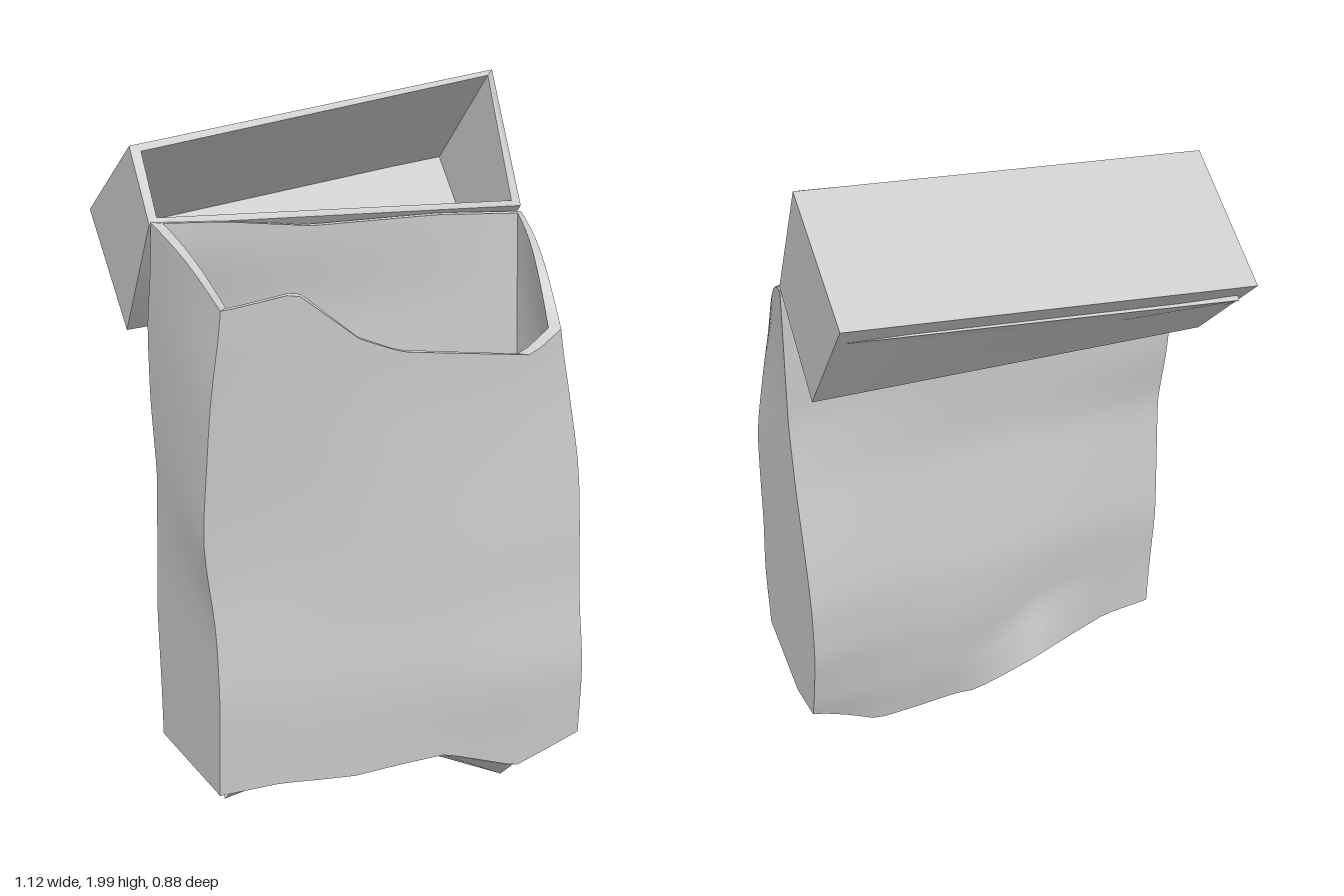
import * as THREE from 'three';
import { toCreasedNormals } from 'three/addons/utils/BufferGeometryUtils.js';

const lerp = THREE.MathUtils.lerp;
const V = (x, y, z) => new THREE.Vector3(x, y, z);
const WALL = 0.025;

// piecewise-linear profile: [[position, value], ...]
function profile(points) {
  return (k) => {
    if (k <= points[0][0]) return points[0][1];
    for (let i = 1; i < points.length; i++) {
      const [a, va] = points[i - 1], [b, vb] = points[i];
      if (k <= b) return lerp(va, vb, (k - a) / (b - a));
    }
    return points[points.length - 1][1];
  };
}
// rounds the knots of a profile
const soft = (f, d = 0.06) => (k) => (f(k - d) + 2 * f(k) + f(k + d)) / 4;

// skin a sequence of closed rings of equal length
function loft(rings) {
  const pos = [];
  for (let r = 0; r + 1 < rings.length; r++) {
    const a = rings[r], b = rings[r + 1], n = a.length;
    for (let i = 0; i < n; i++) {
      const j = (i + 1) % n;
      for (const p of [a[i], a[j], b[j], a[i], b[j], b[i]]) pos.push(p.x, p.y, p.z);
    }
  }
  const g = new THREE.BufferGeometry();
  g.setAttribute('position', new THREE.Float32BufferAttribute(pos, 3));
  return toCreasedNormals(g, 0.5);
}

// upper and lower edges of the crumpled front and back panels, over x
const frontTop = profile([[-0.52, 1.53], [-0.33, 1.55], [-0.13, 1.41], [0, 1.36], [0.4, 1.3], [0.5, 1.36]]);
const frontLow = profile([[-0.54, 0.23], [-0.37, 0.23], [-0.15, 0.2], [0.13, 0.2], [0.35, 0.12], [0.55, 0.185]]);
const backTop = profile([[-0.54, 1.68], [-0.36, 1.67], [-0.1, 1.64], [0.3, 1.64], [0.55, 1.625]]);
const backLow = profile([[-0.54, 0.23], [-0.15, 0.19], [0.04, 0.05], [0.35, 0.005], [0.55, 0.13]]);
const sideSag = profile([[0, 0], [0.62, -0.05], [1, 0]]);

// the four upright corner edges, over y
const edges = {
  front: {
    xl: soft(profile([[0.7, -0.54], [0.93, -0.568], [1.3, -0.545], [1.52, -0.515]])),
    xr: soft(profile([[0.97, 0.56], [1.2, 0.53], [1.36, 0.5]])),
    zl: soft(profile([[0.2, 0.41], [0.5, 0.425], [0.8, 0.4], [1, 0.4], [1.25, 0.41], [1.52, 0.42]])),
    zr: soft(profile([[0.15, 0.43], [0.4, 0.443], [0.6, 0.41], [0.8, 0.4], [1, 0.38], [1.2, 0.36], [1.36, 0.355]])),
  },
  back: {
    xl: () => -0.54,
    xr: () => 0.56,
    zl: soft(profile([[0.23, 0.005], [0.38, 0], [0.6, -0.015], [0.8, 0], [1, 0.015], [1.2, -0.02], [1.4, -0.025], [1.6, 0.02]]), 0.04),
    zr: soft(profile([[0.01, 0.09], [0.17, 0.03], [0.4, -0.02], [0.6, -0.025], [0.75, -0.005], [1, 0.04], [1.2, 0.06], [1.4, 0.05], [1.62, 0.04]]), 0.04),
  },
};

// point on the front or back panel: u runs left edge to right edge, t bottom to top
function panelPoint(side, u, t) {
  const e = edges[side], front = side === 'front';
  const xn = front ? lerp(-0.54, 0.55 - 0.05 * t, u) : lerp(-0.54, 0.56, u);
  const y = lerp((front ? frontLow : backLow)(xn), (front ? frontTop : backTop)(xn), t);
  let z = lerp(e.zl(y), e.zr(y), u);
  z += Math.sin(u * Math.PI) * (1 - t * t) * 0.008 * Math.sin(u * 7 + y * 4);
  // lower crease pushed out of the back panel
  if (!front) z -= 0.06 * Math.max(0, 1 - Math.abs(xn + 0.15) / 0.25) * Math.max(0, 1 - t / 0.13);
  return V(lerp(e.xl(y), e.xr(y), u), y, z);
}

const NU = 28, NS = 8;
function bodyRing(t, inset) {
  const ring = [];
  const flat = (side, u) => {
    const p = panelPoint(side, u, t);
    p.x += inset * (1 - 2 * u);
    p.z += side === 'front' ? -inset : inset;
    return p;
  };
  // side panels sag at the bottom and bow slightly at the rim
  const sidePanel = (from, to, sag, rise) => {
    for (let i = 0; i < NS; i++) {
      const s = i / NS, p = from.clone().lerp(to, s);
      p.y += lerp(sag * sideSag(s), rise * Math.sin(s * Math.PI), t);
      ring.push(p);
    }
  };
  for (let i = 0; i < NU; i++) ring.push(flat('front', i / NU));
  sidePanel(flat('front', 1), flat('back', 1), 1, 0.045);
  for (let i = 0; i < NU; i++) ring.push(flat('back', 1 - i / NU));
  sidePanel(flat('back', 0), flat('front', 0), 0, 0.015);
  return ring;
}

// collapse a body ring to its centre line, closing the bottom
function seam(ring) {
  const mid = (u) => ring[u].clone().lerp(ring[2 * NU + NS - u], 0.5);
  return ring.map((p, i) => {
    if (i <= NU) return mid(i);
    if (i < NU + NS) return mid(NU);
    if (i <= 2 * NU + NS) return mid(2 * NU + NS - i);
    return mid(0);
  });
}

function bodyGeometry() {
  const rings = [], steps = 32;
  for (let i = 0; i <= steps; i++) rings.push(bodyRing(i / steps, 0));
  for (let i = steps; i >= 1; i--) rings.push(bodyRing(i / steps, WALL));
  return loft([seam(rings[0]), ...rings, seam(rings[rings.length - 1])]);
}

// skewed open box; each ring runs hinge side left, right, far side right, left
function lidGeometry() {
  const rim = [V(-0.545, 1.675, 0.025), V(0.56, 1.64, 0.04), V(0.56, 2, -0.135), V(-0.545, 1.86, -0.105)];
  const end = [V(-0.545, 1.355, -0.17), V(0.56, 1.42, -0.17), V(0.56, 1.78, -0.425), V(-0.545, 1.64, -0.44)];
  // move the hinge-side and far-side corners inwards
  const inset = (ring, hinge, far) => ring.map((p, i) => {
    const q = p.clone().add(i < 2 ? hinge : far);
    q.x -= Math.sign(p.x) * WALL;
    return q;
  });
  const centre = (ring) => {
    const c = V(0, 0, 0);
    ring.forEach((p) => c.addScaledVector(p, 0.25));
    return ring.map(() => c);
  };
  const innerRim = inset(rim, V(0, 0.015, -0.01), V(0, -0.013, 0.02));
  const innerEnd = inset(end, V(0, 0.035, 0.01), V(0, -0.06, 0.04));
  return loft([centre(end), end, rim, innerRim, innerEnd, centre(innerEnd)]);
}

// thin folded flap through sections [x, yTop, zTop, xLow, yLow, zLow]
function flapGeometry(sections) {
  const T = 0.012;
  return loft(sections.map(([x, y, z, xl, yl, zl]) => [
    V(x, y, z), V(xl, yl, zl), V(xl, yl + T, zl - T), V(x, y + T, z - T),
  ]));
}

export function createModel() {
  const group = new THREE.Group();
  group.name = 'crumpledFlipTopCarton';
  const material = new THREE.MeshStandardMaterial({ color: 0xcccccc, side: THREE.DoubleSide });
  const add = (name, geometry) => {
    const mesh = new THREE.Mesh(geometry, material);
    mesh.name = name;
    group.add(mesh);
  };
  add('cartonBody', bodyGeometry());
  add('hingedLid', lidGeometry());
  add('bottomFlapRight', flapGeometry([
    [0.13, 0.195, 0.4, 0.12, 0.17, 0.33], [0.35, 0.12, 0.42, 0.35, 0.065, 0.36], [0.55, 0.175, 0.41, 0.53, 0.13, 0.29],
  ]));
  add('bottomFlapLeft', flapGeometry([
    [-0.51, 0.225, 0.4, -0.51, 0.195, 0.37], [-0.37, 0.225, 0.4, -0.38, 0.215, 0.37],
  ]));
  return group;
}
